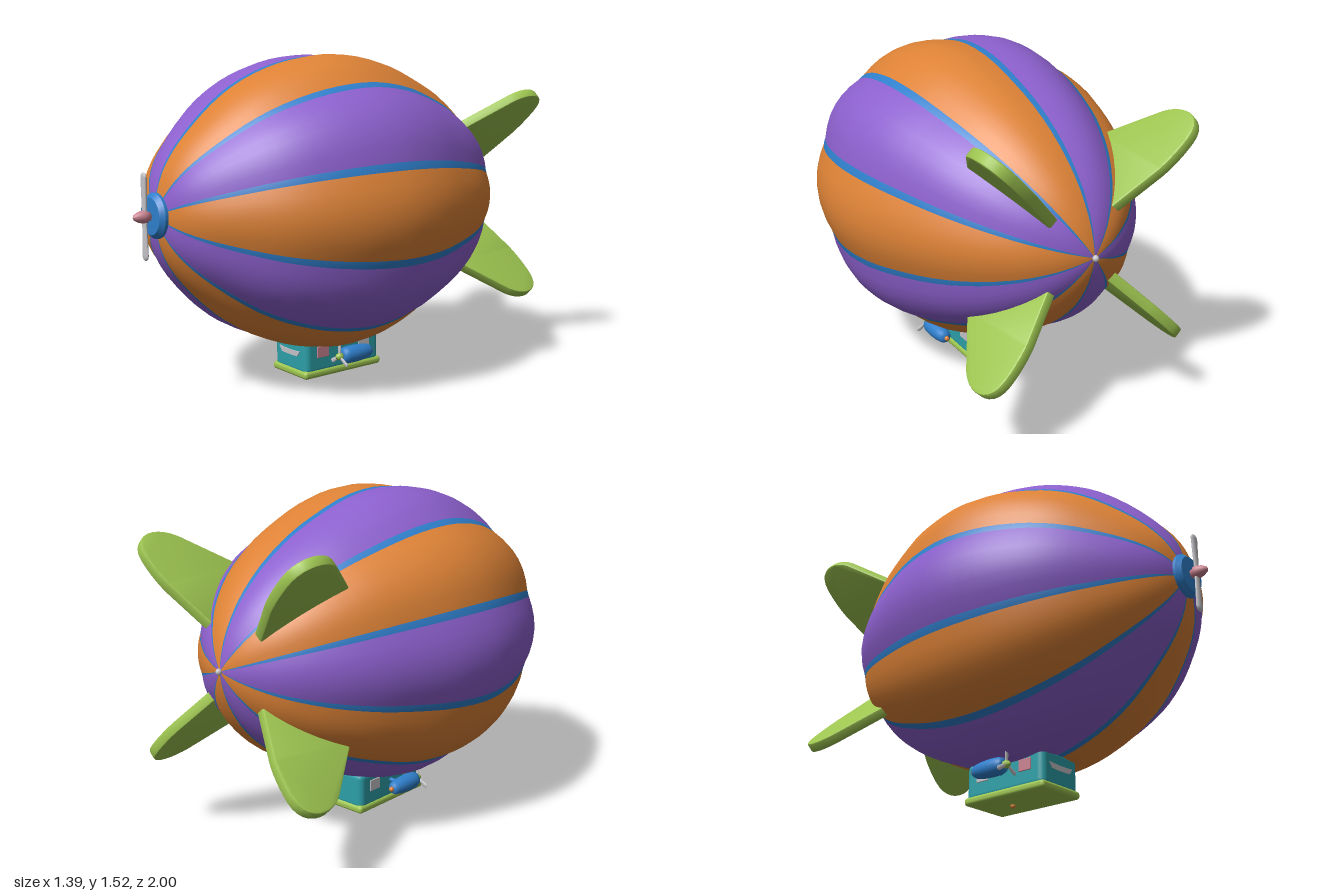
import * as THREE from 'three';
import { RoundedBoxGeometry } from 'three/addons/geometries/RoundedBoxGeometry.js';
import { toCreasedNormals } from 'three/addons/utils/BufferGeometryUtils.js';

const paint = (name, color) => {
  const m = new THREE.MeshStandardMaterial({ color });
  m.name = name;
  return m;
};

const AXIS_Y = 0.845;
const GORES = 10;
const SEAM_HALF = 0.027;

// Hull radius along its length, as (z, radius)
const hullCurve = new THREE.SplineCurve([
  [-0.963, 0.003], [-0.95, 0.075], [-0.915, 0.17], [-0.84, 0.29], [-0.715, 0.415], [-0.56, 0.52],
  [-0.4, 0.595], [-0.2, 0.665], [0, 0.694], [0.17, 0.68], [0.33, 0.638], [0.487, 0.568],
  [0.62, 0.475], [0.755, 0.342], [0.835, 0.235], [0.88, 0.13], [0.9, 0.003],
].map(([z, r]) => new THREE.Vector2(z, r)));

// Lengthwise strip of the hull between two angles; it swells by bulge in the middle
function hullStrip(a0, a1, cols, bulge) {
  const rows = hullCurve.getPoints(40);
  const pos = [], idx = [];
  rows.forEach((p, i) => {
    for (let j = 0; j <= cols; j++) {
      const t = j / cols, a = a0 + (a1 - a0) * t;
      const r = p.y * (0.968 + bulge * Math.sin(Math.PI * t));
      pos.push(r * Math.cos(a), r * Math.sin(a), p.x);
      if (i < rows.length - 1 && j < cols) {
        const k = i * (cols + 1) + j, n = k + cols + 1;
        idx.push(k, k + 1, n, k + 1, n + 1, n);
      }
    }
  });
  const g = new THREE.BufferGeometry();
  g.setAttribute('position', new THREE.Float32BufferAttribute(pos, 3));
  g.setIndex(idx);
  g.computeVertexNormals();
  return g;
}

// Lathe profile of (radius, z) turned about the z axis
const turned = (pts, sides = 24) =>
  new THREE.LatheGeometry(pts.map(([r, z]) => new THREE.Vector2(r, z)), sides).rotateX(Math.PI / 2);

export function createModel() {
  const orange = paint('orange fabric', 0xdd8236);
  const purple = paint('purple fabric', 0x8c60cd);
  const blue = paint('blue trim', 0x2f7fcb);
  const green = paint('green', 0x9dc450);
  const teal = paint('teal', 0x2c9fa8);
  const grey = paint('light grey', 0xc3c3c8);
  const pink = paint('pink', 0xc98290);

  const model = new THREE.Group();
  model.name = 'airship';
  const add = (parent, name, geo, mat, x = 0, y = 0, z = 0) => {
    const m = new THREE.Mesh(geo, mat);
    m.name = name;
    m.position.set(x, y, z);
    parent.add(m);
    return m;
  };
  const group = (parent, name, x = 0, y = 0, z = 0) => {
    const g = new THREE.Group();
    g.name = name;
    g.position.set(x, y, z);
    parent.add(g);
    return g;
  };

  // Hull: alternating gores with blue seams between them
  const hull = group(model, 'hull', 0, AXIS_Y, 0);
  const step = (Math.PI * 2) / GORES;
  for (let i = 0; i < GORES; i++) {
    const a = Math.PI / 2 + i * step;
    add(hull, 'gore', hullStrip(a + SEAM_HALF, a + step - SEAM_HALF, 6, 0.034), i % 2 ? orange : purple);
    add(hull, 'seam', hullStrip(a - SEAM_HALF, a + SEAM_HALF, 2, 0.001), blue);
  }
  add(hull, 'tailTip', new THREE.SphereGeometry(0.014, 12, 8), grey, 0, 0, -0.968);

  // Four diagonal tail fins
  const outline = new THREE.Shape();
  outline.moveTo(-0.575, 0.475);
  outline.lineTo(-0.79, 0.665);
  outline.bezierCurveTo(-0.87, 0.725, -0.99, 0.71, -0.99, 0.6);
  outline.quadraticCurveTo(-0.99, 0.51, -0.965, 0.43);
  outline.lineTo(-0.88, 0.21);
  outline.closePath();
  const finGeo = toCreasedNormals(new THREE.ExtrudeGeometry(outline, {
    depth: 0.032, bevelThickness: 0.008, bevelSize: 0.008, bevelSegments: 2, curveSegments: 10,
  }).translate(0, 0, -0.016), 0.6);
  for (let i = 0; i < 4; i++) {
    const a = Math.PI / 4 + (i * Math.PI) / 2;
    const fin = add(hull, 'tailFin', finGeo, green);
    fin.quaternion.setFromRotationMatrix(new THREE.Matrix4().makeBasis(
      new THREE.Vector3(0, 0, 1),
      new THREE.Vector3(Math.cos(a), Math.sin(a), 0),
      new THREE.Vector3(-Math.sin(a), Math.cos(a), 0),
    ));
  }

  // Flat rounded propeller blades around a hub
  const blades = (parent, count, length, width, thick) => {
    const r = width / 2;
    const geo = new THREE.CapsuleGeometry(r, length - width, 5, 12)
      .scale(1, 1, thick / width).translate(0, length / 2, 0);
    const p = geo.attributes.position;
    for (let i = 0; i < p.count; i++) p.setX(i, p.getX(i) * (0.6 + 0.4 * Math.min(1, p.getY(i) / (length * 0.7))));
    geo.computeVertexNormals();
    for (let i = 0; i < count; i++) {
      add(parent, 'blade', geo, grey).rotation.z = (i * Math.PI * 2) / count;
    }
  };

  // Nose cap, spinner and main propeller
  const nose = group(model, 'nose', 0, AXIS_Y, 0);
  add(nose, 'noseCap', toCreasedNormals(turned([
    [0, 0.87], [0.09, 0.87], [0.098, 0.88], [0.098, 0.9], [0.084, 0.915], [0.08, 0.92], [0, 0.922],
  ], 32), 0.5), blue);
  add(nose, 'spinner', turned([
    [0, 0.915], [0.018, 0.918], [0.021, 0.932], [0.028, 0.938], [0.028, 0.955], [0.022, 0.975], [0.012, 0.993], [0, 1],
  ]), pink);
  blades(group(nose, 'mainPropeller', 0, 0, 0.945), 2, 0.187, 0.045, 0.018);

  // Gondola
  const gondola = group(model, 'gondola', 0, 0, -0.03);
  add(gondola, 'cabin', new RoundedBoxGeometry(0.25, 0.18, 0.45, 4, 0.03), teal, 0, 0.125, 0);
  add(gondola, 'cabinBase', new RoundedBoxGeometry(0.264, 0.038, 0.466, 4, 0.016), green, 0, 0.039, 0);
  add(gondola, 'keelLamp', new THREE.SphereGeometry(0.012, 12, 8), orange, 0, 0.016, -0.05);

  // Windscreen and side windows as thin plates
  const screen = new THREE.Shape();
  screen.moveTo(-0.08, 0.148);
  screen.quadraticCurveTo(0, 0.14, 0.08, 0.148);
  screen.lineTo(0.06, 0.122);
  screen.quadraticCurveTo(0, 0.118, -0.06, 0.122);
  screen.closePath();
  add(gondola, 'windscreen', new THREE.ExtrudeGeometry(screen, { depth: 0.008, bevelEnabled: false }), grey, 0, 0, 0.222);
  for (const s of [1, -1]) {
    const side = s > 0 ? 'left' : 'right';
    add(gondola, side + 'FrontWindow', new RoundedBoxGeometry(0.008, 0.055, 0.07, 2, 0.003), pink, s * 0.125, 0.142, 0.125);
    add(gondola, side + 'RearWindow', new RoundedBoxGeometry(0.008, 0.055, 0.07, 2, 0.003), grey, s * 0.125, 0.142, -0.125);

    // Side engine on a strut with a three-bladed propeller
    const engine = group(model, side + 'Engine', s * 0.208, 0.13, 0);
    add(engine, 'strut', new THREE.CylinderGeometry(0.01, 0.01, 0.1, 12).rotateZ(Math.PI / 2), blue, -s * 0.06, 0, -0.04);
    add(engine, 'engineBody', turned([
      [0, -0.128], [0.022, -0.125], [0.031, -0.11], [0.038, -0.07], [0.041, -0.02], [0.04, 0.02],
      [0.034, 0.042], [0.022, 0.05], [0, 0.052],
    ]), blue);
    add(engine, 'exhaustTip', new THREE.SphereGeometry(0.012, 12, 8), orange, 0, 0, -0.131);
    add(engine, 'hub', turned([
      [0, 0.045], [0.016, 0.047], [0.018, 0.062], [0.013, 0.076], [0, 0.083],
    ], 16), green);
    blades(group(engine, 'enginePropeller', 0, 0, 0.063), 3, 0.068, 0.022, 0.008);
  }
  return model;
}
